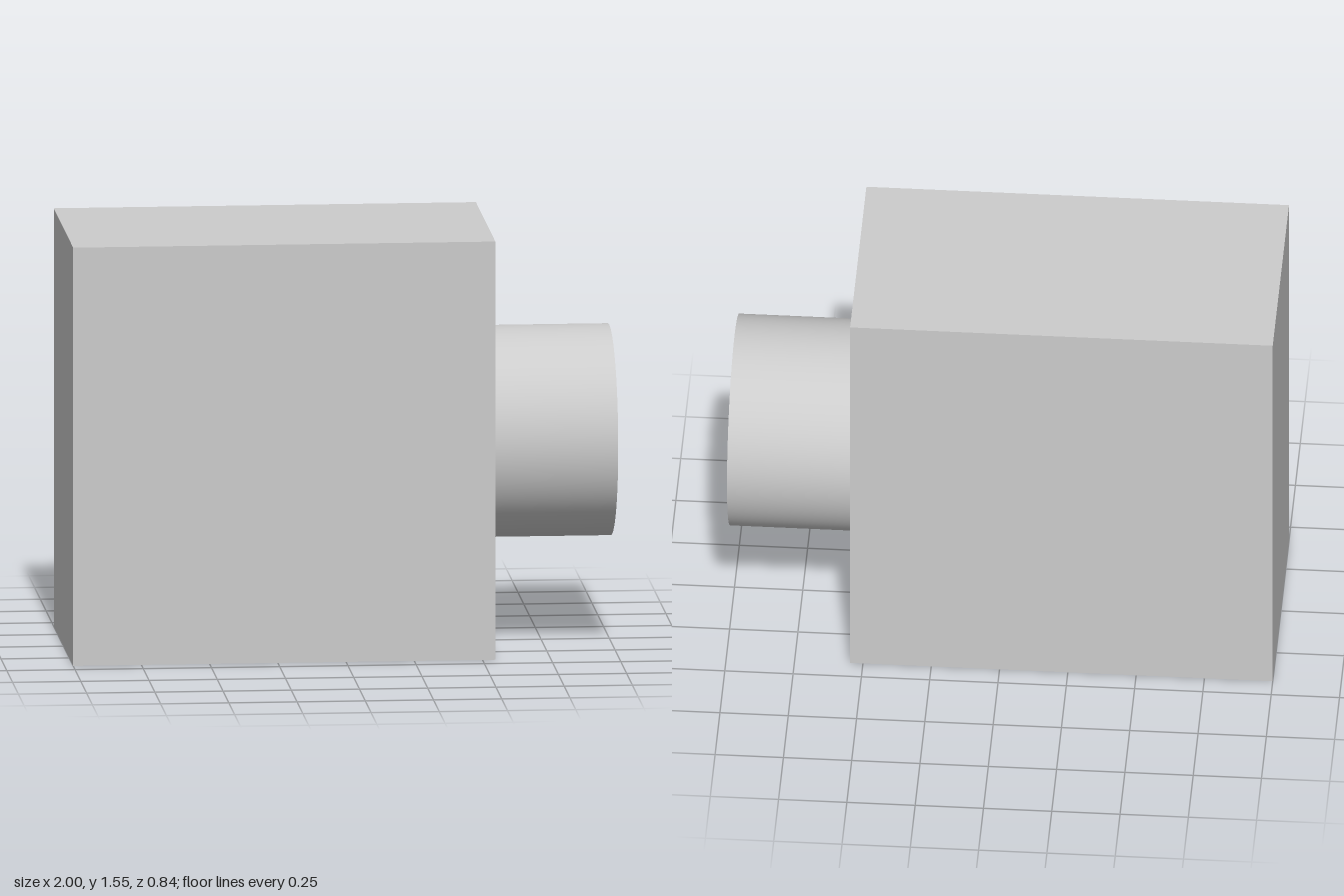
import * as THREE from 'three';

export function createModel() {
  const group = new THREE.Group();
  const material = new THREE.MeshStandardMaterial({ color: 0xcccccc });

  const bodyHeight = 1.55, bodyDepth = 0.84;
  const bodyLeft = -1, bodyRight = 0.547, tip = 1;

  // Box-shaped body standing on the ground
  const bodyWidth = bodyRight - bodyLeft;
  const body = new THREE.Mesh(new THREE.BoxGeometry(bodyWidth, bodyHeight, bodyDepth), material);
  body.name = 'body';
  body.position.set((bodyLeft + bodyRight) / 2, bodyHeight / 2, 0);
  group.add(body);

  // Round stub centred on the +x side
  const stubLength = tip - bodyRight;
  const stubGeometry = new THREE.CylinderGeometry(0.387, 0.387, stubLength, 96);
  stubGeometry.rotateZ(-Math.PI / 2);
  const stub = new THREE.Mesh(stubGeometry, material);
  stub.name = 'cylindricalStub';
  stub.position.set((bodyRight + tip) / 2, bodyHeight / 2, 0);
  group.add(stub);

  return group;
}
